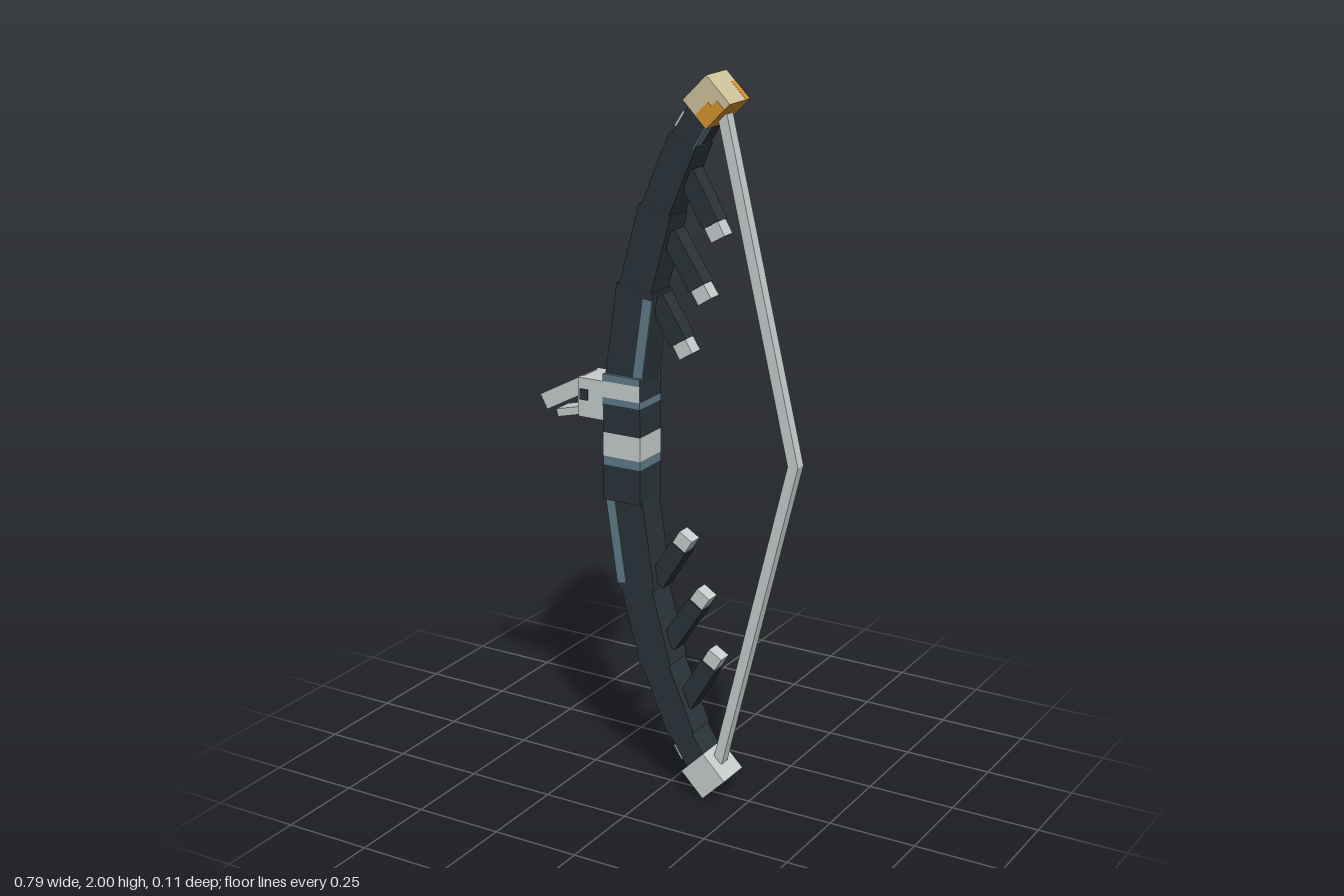
import * as THREE from 'three';

const mat = (name, color) => new THREE.MeshStandardMaterial({ name, color });

export function createModel() {
  const bow = new THREE.Group();
  bow.name = 'bow';
  const dark = mat('charcoal', 0x2b343a);
  const teal = mat('slate blue', 0x607d8a);
  const light = mat('pale grey', 0xc8cfce);
  const tan = mat('pale gold', 0xd0c59c);
  const orange = mat('amber', 0xd8942f);

  // Box given by its size, centre and rotation about z
  const box = (name, m, w, h, d, x, y, z = 0, rot = 0, parent = bow) => {
    const mesh = new THREE.Mesh(new THREE.BoxGeometry(w, h, d), m);
    mesh.name = name;
    mesh.position.set(x, y, z);
    mesh.rotation.z = rot;
    parent.add(mesh);
    return mesh;
  };

  // Handle: stacked bands [bottom, top, material of sides, material of +x face]
  const bands = [
    [0.825, 0.925, dark, dark],
    [0.925, 0.95, teal, teal],
    [0.95, 1.017, light, light],
    [1.017, 1.097, dark, dark],
    [1.097, 1.115, teal, teal],
    [1.115, 1.16, light, dark],
    [1.16, 1.18, teal, dark],
  ];
  for (const [y0, y1, m, inner] of bands) {
    box('handleBand', [inner, m, m, m, m, m], 0.116, y1 - y0, 0.11, -0.122, (y0 + y1) / 2);
  }

  // Limbs: s = 1 is the upper one, s = -1 the lower one, mirrored about y = 1
  const joints = [[-0.122, 0.16], [-0.085, 0.415], [-0.026, 0.63], [0.055, 0.82], [0.125, 0.93]];
  const widths = [0.114, 0.098, 0.085, 0.07];
  const prongs = [[-0.035, 0.40, 0.045, 0.27], [0.002, 0.575, 0.1, 0.425], [0.055, 0.74, 0.139, 0.595]];
  for (const s of [1, -1]) {
    const limb = new THREE.Group();
    limb.name = s > 0 ? 'upperLimb' : 'lowerLimb';
    bow.add(limb);

    widths.forEach((w, i) => {
      const [x0, y0] = joints[i], [x1, y1] = joints[i + 1];
      const len = Math.hypot(x1 - x0, y1 - y0);
      const seg = box('limbSegment', dark, w, len + 0.02, 0.09 - i * 0.0006,
        (x0 + x1) / 2, 1 + s * (y0 + y1) / 2, 0, -s * Math.atan2(x1 - x0, y1 - y0), limb);
      // Painted strip along the first segment
      if (i === 0) {
        for (const z of [0.046, -0.046]) {
          box('limbStripe', teal, 0.028, len - 0.02, 0.003, s * (w / 2 - 0.0138), 0, z, 0, seg);
        }
      }
      if (i === 3 && s > 0) {
        box('tipStripe', teal, 0.003, len - 0.02, 0.035, w / 2 + 0.001, 0, 0.027, 0, seg);
      }
    });

    // Small pale pad behind the tip
    box('tipPad', light, 0.05, 0.045, 0.086, 0.068, 1 + s * 0.87, 0, -s * 0.57, limb);

    // Inner prongs with pale ends
    for (const [x0, y0, x1, y1] of prongs) {
      const len = Math.hypot(x1 - x0, y1 - y0);
      const prong = new THREE.Group();
      prong.name = 'prong';
      prong.position.set(x0, 1 + s * y0, -0.003);
      prong.rotation.z = Math.atan2(s * (y1 - y0), x1 - x0);
      limb.add(prong);
      box('prongShaft', dark, len - 0.02, 0.052, 0.05, (len - 0.02) / 2, 0, 0, 0, prong);
      box('prongEnd', light, 0.042, 0.045, 0.042, len, 0, 0, 0, prong);
    }

    // Tip cube; the upper one is gold with amber underneath
    // faces: +x = upper right, -x = lower left, +y = upper left, -y = lower right
    const cube = box('tipCube', s > 0 ? [tan, orange, tan, orange, tan, tan] : light,
      0.096, 0.096, 0.104, 0.132, 1 + s * 0.932, 0, Math.PI / 4, limb);
    if (s > 0) {
      for (const z of [0.0525, -0.0525]) {
        box('amberPatch', orange, 0.05, 0.045, 0.002, -0.02, -0.0255, z, 0, cube);
        box('amberPatch', orange, 0.03, 0.03, 0.002, 0.012, -0.033, z, 0, cube);
      }
      box('amberPatch', orange, 0.03, 0.002, 0.104, -0.033, 0.0475, 0, 0, cube);
      box('amberPatch', orange, 0.015, 0.002, 0.05, -0.011, 0.0475, 0.02, 0, cube);
      box('amberPatch', orange, 0.002, 0.06, 0.02, 0.0475, -0.018, -0.042, 0, cube);
    }
  }

  // Bowstring: a drawn V of constant section
  const v = new THREE.Shape([
    [0.143, 1.9], [0.36, 1], [0.143, 0.1], [0.172, 0.1], [0.39, 1], [0.172, 1.9],
  ].map(([x, y]) => new THREE.Vector2(x, y)));
  const string = new THREE.Mesh(
    new THREE.ExtrudeGeometry(v, { depth: 0.032, bevelEnabled: false }), light);
  string.name = 'bowstring';
  string.position.z = -0.016;
  bow.add(string);

  // Beaked head on the outside of the handle
  const head = new THREE.Group();
  head.name = 'head';
  bow.add(head);
  box('skull', light, 0.085, 0.11, 0.104, -0.218, 1.103, 0, 0, head);
  box('upperBeak', light, 0.16, 0.046, 0.066, -0.314, 1.102, 0, 0.49, head);
  box('lowerBeak', light, 0.1, 0.022, 0.06, -0.295, 1.05, 0, 0.24, head);
  for (const z of [0.053, -0.053]) {
    box('eye', dark, 0.026, 0.03, 0.005, -0.241, 1.112, z, 0, head);
  }

  return bow;
}
